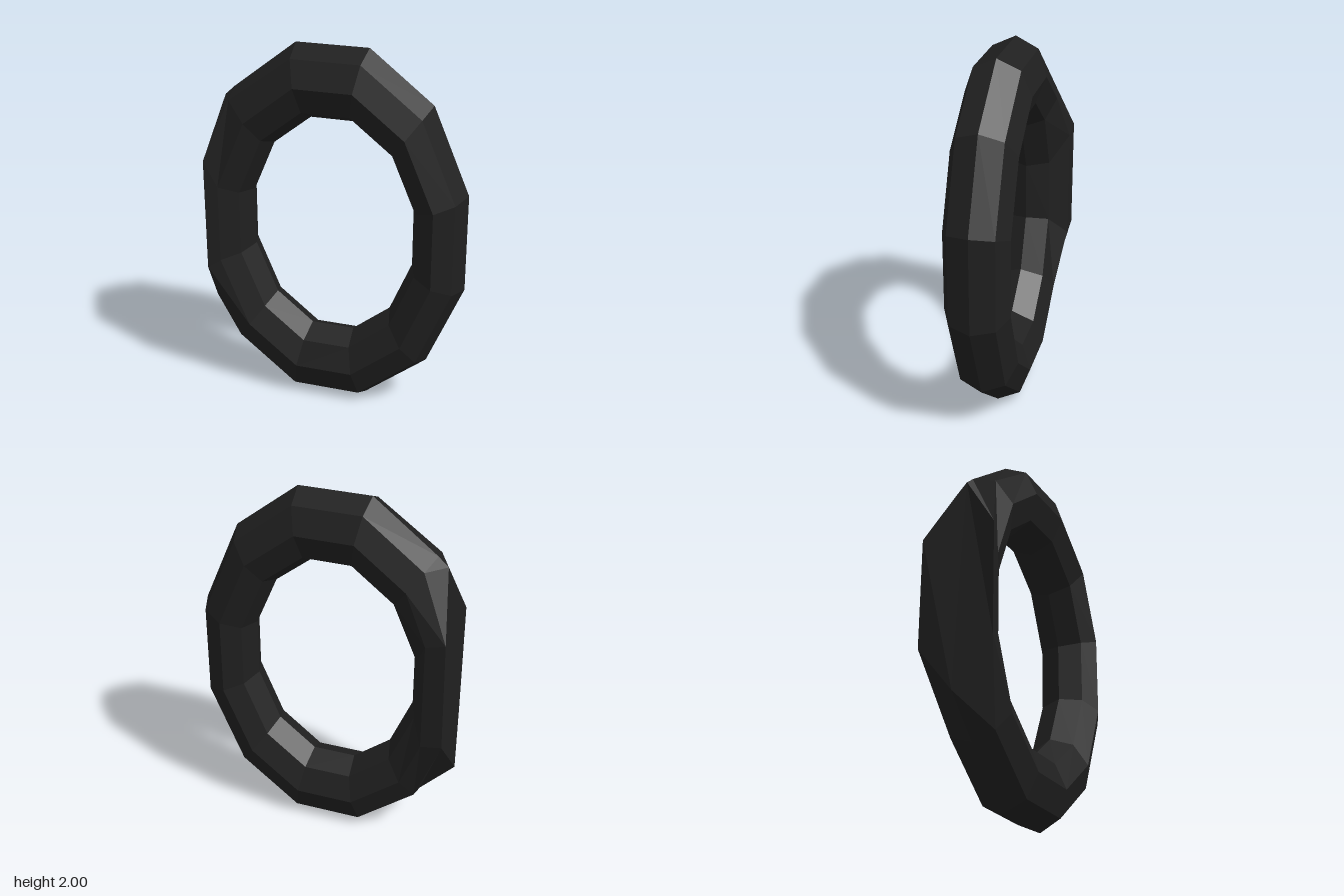
import * as THREE from 'three';

const SEGMENTS = 12; // around the ring
const SIDES = 8;     // around the tube

// Corners of the dented side, keyed by "segment,side" (side 0 = tread centre line)
const DENT = {
  '4,0': [-0.565, 1.73, 0.012],
  '4,1': [-0.55, 1.69, 0.142],
  '5,0': [-0.62, 1.68, 0.01],
  '5,1': [-0.68, 1.36, 0.208],
  '5,7': [-0.68, 1.36, -0.21],
  '5,6': [-0.575, 1.33, -0.207],
  '6,0': [-0.72, 0.47, 0.01],
  '6,1': [-0.68, 0.74, 0.208],
  '6,7': [-0.69, 0.74, -0.207],
  '6,6': [-0.575, 0.72, -0.205],
  '7,0': [-0.53, 0.27, 0.016],
};

// Corner of an oval ring with an eight-sided section
function corner(i, j) {
  i %= SEGMENTS;
  j %= SIDES;
  const dented = DENT[`${i},${j}`];
  if (dented) return dented;
  const a = ((i + 0.5) / SEGMENTS) * Math.PI * 2;
  const b = (j / SIDES) * Math.PI * 2;
  const r = 0.611 + 0.15 * Math.cos(b);
  return [-0.02 + r * Math.cos(a), 1 + r * 1.359 * Math.sin(a), 0.018 + 0.175 * Math.sin(b)];
}

function ringGeometry() {
  const positions = [];
  for (let i = 0; i < SEGMENTS; i++) {
    for (let j = 0; j < SIDES; j++) {
      const a = corner(i, j), b = corner(i + 1, j);
      const c = corner(i + 1, j + 1), d = corner(i, j + 1);
      positions.push(...a, ...b, ...c, ...a, ...c, ...d);
    }
  }
  const geometry = new THREE.BufferGeometry();
  geometry.setAttribute('position', new THREE.Float32BufferAttribute(positions, 3));
  geometry.computeVertexNormals();
  return geometry;
}

export function createModel() {
  const group = new THREE.Group();
  group.name = 'dentedRing';
  const rubber = new THREE.MeshStandardMaterial({ color: 0x202020, flatShading: true });
  rubber.name = 'blackRubber';

  // Oval ring with one flattened side
  const ring = new THREE.Mesh(ringGeometry(), rubber);
  ring.name = 'ring';
  group.add(ring);
  return group;
}
